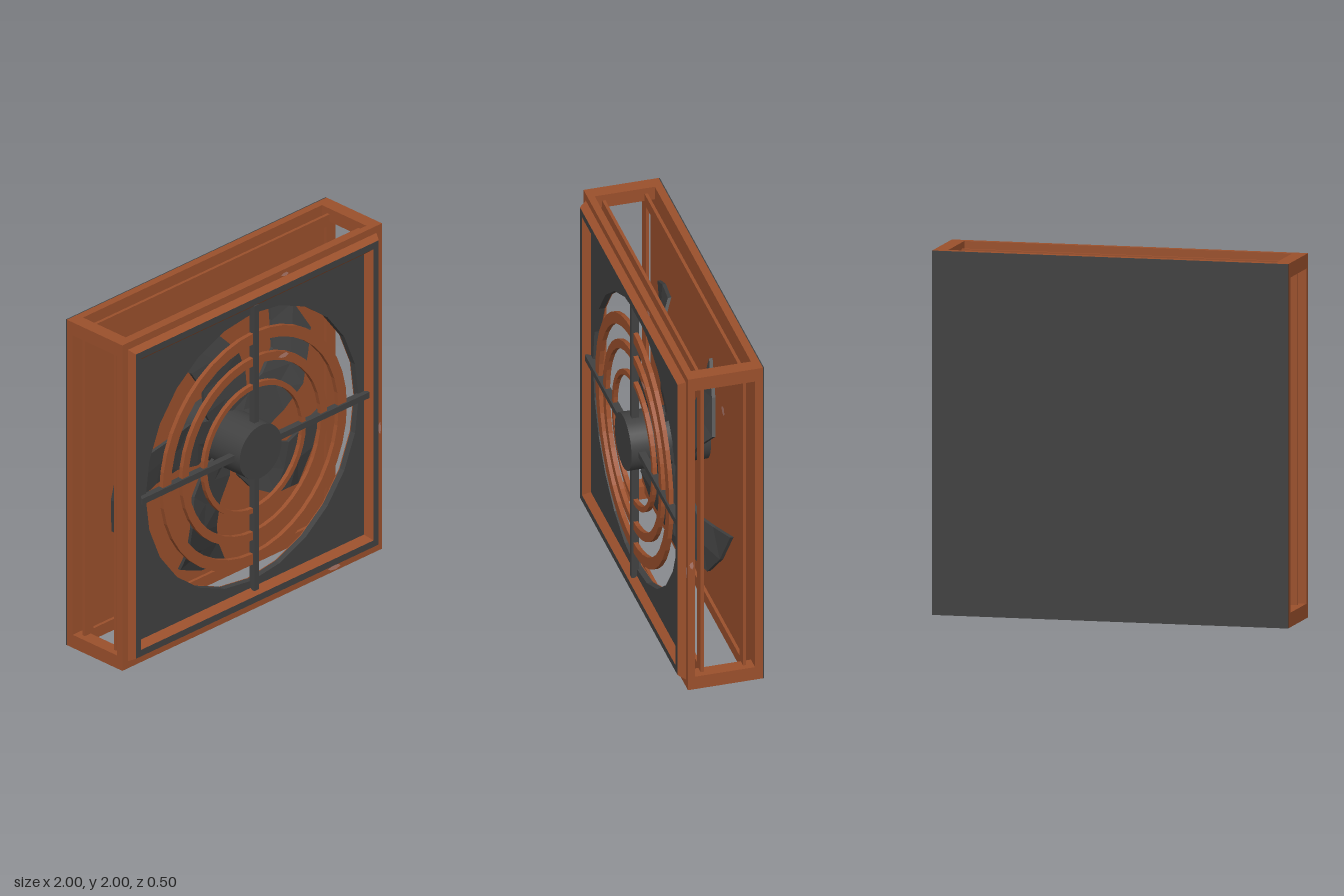
import * as THREE from 'three';

export function createModel() {
  const group = new THREE.Group();
  const material = (name, color) => {
    const m = new THREE.MeshStandardMaterial({ color });
    m.name = name;
    return m;
  };
  const rust = material('rustyOrange', 0x9b502c);
  const dark = material('darkSteel', 0x414141);
  const worn = material('wornPatch', 0xb0796a);

  const add = (name, geometry, mat, x = 0, y = 1, z = 0) => {
    const mesh = new THREE.Mesh(geometry, mat);
    mesh.name = name;
    mesh.position.set(x, y, z);
    group.add(mesh);
    return mesh;
  };
  const box = (name, mat, w, h, d, x, y, z) =>
    add(name, new THREE.BoxGeometry(w, h, d), mat, x, y, z);
  const square = (s, Type = THREE.Shape) =>
    new Type([[-s, -s], [s, -s], [s, s], [-s, s]].map(([x, y]) => new THREE.Vector2(x, y)));
  const circle = (r, Type = THREE.Shape) => new Type().absarc(0, 0, r, 0, Math.PI * 2);
  // Flat outline with an opening, extruded from z0 to z1
  const plate = (name, mat, outline, hole, z0, z1, segments = 12) => {
    if (hole) outline.holes.push(hole);
    const g = new THREE.ExtrudeGeometry(outline, {
      depth: z1 - z0, bevelEnabled: false, curveSegments: segments,
    });
    return add(name, g, mat, 0, 1, z0);
  };
  // Square moulding swept from [half width, z] points
  const moulding = (name, mat, profile) => {
    const points = profile.map(([s, z]) => new THREE.Vector2(s * Math.SQRT2, z));
    const g = new THREE.LatheGeometry(points, 4, Math.PI / 4).toNonIndexed();
    g.computeVertexNormals();
    g.rotateX(Math.PI / 2);
    return add(name, g, mat);
  };

  // Housing: front frame and solid back, joined by corner posts
  plate('frontFrame', rust, square(1), square(0.92, THREE.Path), 0.14, 0.18);
  plate('backWall', rust, square(1), null, -0.245, -0.2);
  for (const x of [-0.96, 0.96]) {
    for (const y of [0.04, 1.96]) box('cornerPost', rust, 0.08, 0.08, 0.34, x, y, -0.03);
  }
  box('backCover', dark, 2, 2, 0.006, 0, 1, -0.248);

  // Thin slats running round inside the four side openings
  for (const z of [0.08, -0.16]) {
    plate('sideSlats', rust, square(0.965), square(0.897, THREE.Path), z, z + 0.018);
  }

  // Raised lip round the front opening
  moulding('lipOuterBevel', rust, [[0.957, 0.18], [0.935, 0.22]]);
  moulding('lipFace', dark, [[0.935, 0.22], [0.895, 0.22]]);
  moulding('lipInnerBevel', rust, [[0.895, 0.22], [0.86, 0.179]]);

  // Front panel with the fan opening, dark outside and rusty inside
  const openingRadius = 0.82;
  plate('frontPanel', dark, square(0.92), circle(openingRadius, THREE.Path), 0.145, 0.18);
  plate('frontPanelLining', rust, square(0.92), circle(openingRadius, THREE.Path), 0.14, 0.145);

  // Guard: three rings on a cross of bars
  for (const [inner, outer] of [[0.365, 0.395], [0.51, 0.56], [0.645, 0.71]]) {
    plate('guardRing', rust, circle(outer), circle(inner, THREE.Path), 0.175, 0.2, 20);
  }
  box('verticalBar', dark, 0.036, 1.75, 0.04, 0.006, 1.005, 0.19);
  box('horizontalBar', dark, 1.75, 0.036, 0.04, 0, 1.003, 0.19);

  // Hub
  const hub = new THREE.CylinderGeometry(0.162, 0.162, 0.45, 32);
  hub.rotateX(Math.PI / 2);
  add('hub', hub, dark, -0.005, 1, 0.025);

  // Blade sections: radius, angle and z of the clockwise edge, then of the other edge
  const sections = [
    [0.13, -58, 0.03, 0.13, 22, -0.03],
    [0.25, -54, 0.025, 0.25, 13, -0.02],
    [0.39, -42, 0.025, 0.39, 0, -0.02],
    [0.54, -30, 0.045, 0.54, 1, -0.035],
    [0.67, -20, 0.0, 0.67, 7, -0.08],
    [0.79, -16, -0.06, 0.845, 14, -0.12],
  ];
  const bladeGeometry = () => {
    const position = [], index = [], n = 6;
    for (const [r0, a0, z0, r1, a1, z1] of sections) {
      const corner = (t, dz) => {
        const a = THREE.MathUtils.degToRad(a0 + (a1 - a0) * t);
        const r = r0 + (r1 - r0) * t;
        position.push(r * Math.cos(a), r * Math.sin(a), z0 + (z1 - z0) * t + dz);
      };
      for (const t of [0, 0.5, 1]) corner(t, 0.01);
      for (const t of [1, 0.5, 0]) corner(t, -0.01);
    }
    for (let s = 0; s < sections.length - 1; s++) {
      for (let i = 0; i < n; i++) {
        const a = s * n + i, b = s * n + (i + 1) % n;
        index.push(a, a + n, b, b, a + n, b + n);
      }
    }
    // Root and tip caps
    const e = (sections.length - 1) * n;
    for (const [a, b, c, d] of [[0, 1, 4, 5], [1, 2, 3, 4]]) {
      index.push(a, b, c, a, c, d, e + a, e + c, e + b, e + a, e + d, e + c);
    }
    const g = new THREE.BufferGeometry();
    g.setAttribute('position', new THREE.Float32BufferAttribute(position, 3));
    g.setIndex(index);
    const faceted = g.toNonIndexed();
    faceted.computeVertexNormals();
    return faceted;
  };
  const blade = bladeGeometry();
  for (let i = 0; i < 5; i++) {
    add('blade', blade, dark).rotation.z = THREE.MathUtils.degToRad(118 + 72 * i);
  }

  // Small worn patches on the paint
  const patch = (w, h, x, y, z, turn = 0) => {
    const s = new THREE.Shape([[-1, 0.2], [-0.5, -0.6], [0.3, -1], [1, -0.3], [0.5, 0.9], [-0.4, 0.7]]
      .map(([px, py]) => new THREE.Vector2(px * w, py * h)));
    add('wornPatch', new THREE.ShapeGeometry(s), worn, x, y, z).rotation.y = turn;
  };
  patch(0.05, 0.016, 0.63, 0.025, 0.182);
  patch(0.012, 0.04, 0.98, 0.75, 0.182);
  patch(0.03, 0.012, 0.25, 1.97, 0.182);
  patch(0.03, 0.03, 0.39, 1.36, -0.198);
  patch(0.04, 0.015, 0.22, 1.49, 0.202);
  patch(0.012, 0.025, 1.002, 0.8, 0.16, Math.PI / 2);

  return group;
}
